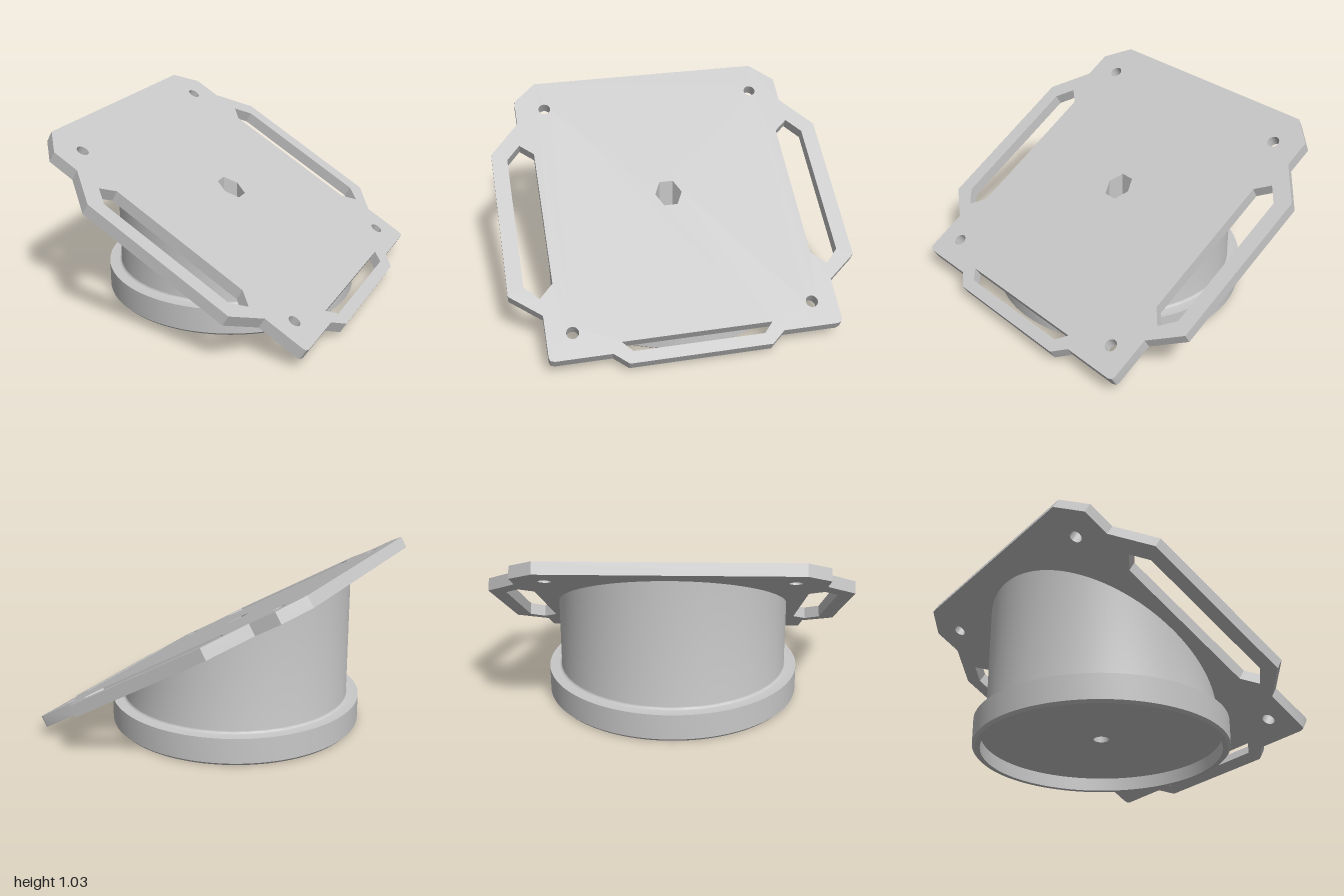
import * as THREE from 'three';
import { toCreasedNormals } from 'three/addons/utils/BufferGeometryUtils.js';

const TILT = Math.PI / 6, COS = Math.cos(TILT), TAN = Math.tan(TILT);
const THICK = 0.068, LEFT = -0.836, HIGH = 0.967; // lower left edge of the plate
const AXIS = -0.047;                              // x of the pedestal axis
const HEX_R = 0.08, BORE_R = 0.045, POCKET_Y = 0.3, FILLET = 0.015;

// Height of the plate's underside at a given x
const underside = (x) => HIGH - (x - LEFT) * TAN;
// Distance along the plate for an x on its upper face
const along = (x) => (x - LEFT - THICK * Math.sin(TILT)) / COS;
const pts = (list) => list.map(([x, z]) => new THREE.Vector2(along(x), z));
// Corners of the hexagon around the axis
const hexagon = (cx) => Array.from({ length: 6 }, (_, i) => {
  const a = (i * Math.PI) / 3;
  return [cx + HEX_R * Math.sin(a), HEX_R * Math.cos(a)];
});

// Lathe around the pedestal axis, trimmed by the sloping plane
function trimmedLathe(profile, segments, crease) {
  const geo = new THREE.LatheGeometry(profile.map((p) => new THREE.Vector2(...p)), segments);
  geo.translate(AXIS, 0, 0);
  const p = geo.attributes.position;
  for (let i = 0; i < p.count; i++) p.setY(i, Math.min(p.getY(i), underside(p.getX(i))));
  return toCreasedNormals(geo, crease);
}

function plateGeometry() {
  // Half outline, mirrored across z = 0 and run counter-clockwise
  const half = [
    [-0.802, 0.69], [-0.695, 0.825], [-0.555, 0.825], [-0.38, 1], [0.42, 1], [0.54, 0.825],
    [0.75, 0.825], [0.768, 0.818], [0.775, 0.795], [0.775, 0.48], [0.834, 0.4],
  ];
  const mirrored = half.map(([x, z]) => [x, -z]);
  const shape = new THREE.Shape(pts([...mirrored, ...half.reverse()]));
  const cut = (list) => shape.holes.push(new THREE.Path(pts(list)));

  for (const s of [1, -1]) {
    // Long side handles
    cut([[-0.42, 0.83], [-0.34, 0.91], [0.38, 0.91], [0.452, 0.83], [0.38, 0.75], [-0.36, 0.75]]
      .map(([x, z]) => [x, z * s]));
    // Screw holes
    for (const [x, z] of [[-0.633, 0.65], [0.645, 0.68]]) {
      shape.holes.push(new THREE.Path().absarc(along(x), z * s, 0.035, 0, Math.PI * 2, true));
    }
  }
  // Low edge slot
  cut([[0.722, 0.425], [0.775, 0.37], [0.775, -0.37], [0.722, -0.425]]);
  // Hexagonal opening
  cut(hexagon(AXIS));

  const geo = new THREE.ExtrudeGeometry(shape, { depth: THICK, bevelEnabled: false, curveSegments: 24 });
  // Lean the hexagonal opening so that it runs vertically
  const p = geo.attributes.position;
  for (let i = 0; i < p.count; i++) {
    if (p.getZ(i) < THICK / 2 && Math.hypot(p.getX(i) - along(AXIS), p.getY(i)) < 0.15) {
      p.setX(i, p.getX(i) + THICK * TAN);
    }
  }
  geo.rotateX(-Math.PI / 2).rotateZ(-TILT).translate(LEFT, HIGH, 0);
  return toCreasedNormals(geo, 0.5);
}

export function createModel() {
  const group = new THREE.Group();
  const grey = new THREE.MeshStandardMaterial({ color: 0xc8c8c8 });
  grey.name = 'grey';
  const add = (name, geo) => {
    const mesh = new THREE.Mesh(geo, grey);
    mesh.name = name;
    group.add(mesh);
  };

  add('tiltedPlate', plateGeometry());

  // Bore, recessed underside, foot rim, fillet and column in one profile
  const fillet = Array.from({ length: 5 }, (_, i) => {
    const a = (i / 4) * (Math.PI / 2);
    return [0.66 + FILLET * (1 - Math.sin(a)), 0.16 + FILLET * (1 - Math.cos(a))];
  });
  add('pedestal', trimmedLathe([
    [BORE_R, POCKET_Y], [BORE_R, 0.08], [0.685, 0.08], [0.685, 0], [0.715, 0],
    [0.73, 0.015], [0.73, 0.16], ...fillet, [0.66, 2],
  ], 128, 0.5));

  // Hexagonal pocket below the plate
  add('hexPocketWall', trimmedLathe([[HEX_R, 2], [HEX_R, POCKET_Y]], 6, 0.3));
  const floor = new THREE.Shape(hexagon(0).map((p) => new THREE.Vector2(...p)));
  floor.holes.push(new THREE.Path().absarc(0, 0, BORE_R, 0, Math.PI * 2, true));
  add('hexPocketFloor', new THREE.ShapeGeometry(floor, 24).rotateX(-Math.PI / 2).translate(AXIS, POCKET_Y, 0));

  return group;
}
